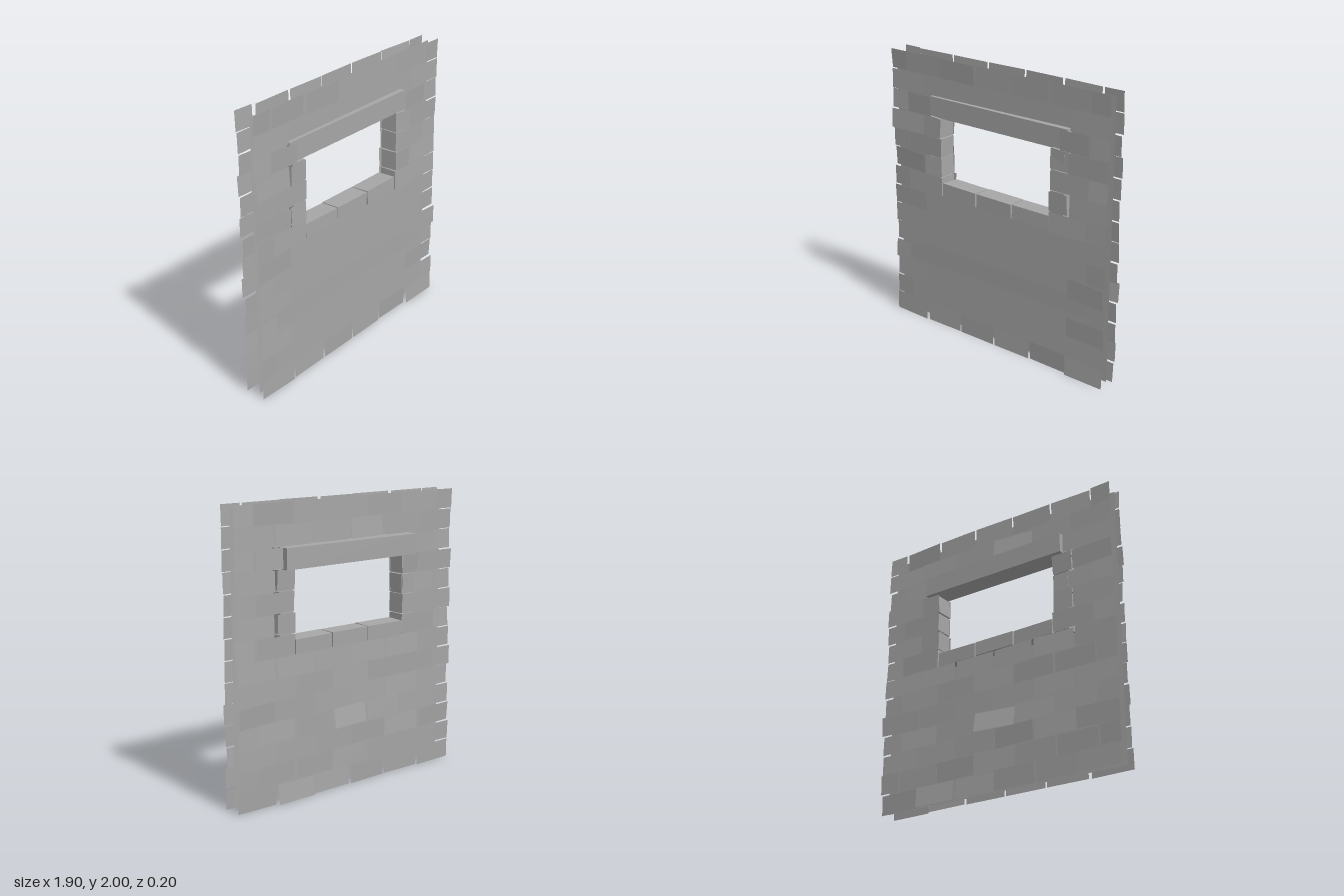
import * as THREE from 'three';

export function createModel() {
  const wall = new THREE.Group();
  wall.name = 'stoneWallWithWindow';
  const stone = new THREE.MeshStandardMaterial({ color: 0xa6a6a6, side: THREE.DoubleSide, flatShading: true });
  stone.name = 'grey stone';

  let seed = 7;
  const jitter = (amount) => {
    seed = (seed * 16807) % 2147483647;
    return (seed / 2147483647 - 0.5) * 2 * amount;
  };

  const COURSES = 14, PITCH = 0.143, BRICK = 0.3165, EDGE = 0.95;

  const add = (name, geometry, x, y, z, parent = wall) => {
    const mesh = new THREE.Mesh(geometry, stone);
    mesh.name = name;
    mesh.position.set(x, y, z);
    parent.add(mesh);
    return mesh;
  };

  // Thin core sheet with the window opening, turned slightly about y
  const sheet = new THREE.Shape();
  sheet.moveTo(-0.93, 0.02).lineTo(0.93, 0.02).lineTo(0.93, 1.975).lineTo(-0.93, 1.975).closePath();
  const opening = new THREE.Path();
  opening.moveTo(-0.52, 1.05).lineTo(-0.52, 1.62).lineTo(0.52, 1.62).lineTo(0.52, 1.05).closePath();
  sheet.holes.push(opening);
  add('coreSheet', new THREE.ShapeGeometry(sheet), 0, 0, 0.017).rotation.y = 0.016;

  // Flat course set just proud of the core
  add('flatCourse', new THREE.PlaneGeometry(1.76, 0.14), 0, 0.505, 0.024).rotation.set(0.02, 0.012, 0);

  // Running bond: whole bricks on even courses, half bricks at the ends of odd ones
  function courseSpans(course, gap) {
    const spans = [];
    const start = course % 2 ? -EDGE - BRICK / 2 : -EDGE;
    for (let a = start; a < EDGE - 0.01; a += BRICK) {
      const lo = Math.max(a, -EDGE) + 0.006;
      const hi = Math.min(a + BRICK, EDGE) - 0.006;
      const pieces = gap ? [[lo, Math.min(hi, -gap)], [Math.max(lo, gap), hi]] : [[lo, hi]];
      spans.push(...pieces.filter(([l, h]) => h - l > 0.05));
    }
    return spans;
  }

  const windowGap = (c) => (c >= 7 && c <= 10 ? 0.482 : c === 11 ? 0.565 : 0);
  const frontGap = (c) => {
    if (c === 0 || c === COURSES - 1) return 0;
    return windowGap(c) || (c % 2 ? 0.795 : 0.64);
  };

  // Brick faces: thin loose plates on both sides
  function facing(name, z, gapOf, facingAngle) {
    const group = new THREE.Group();
    group.name = name;
    wall.add(group);
    let count = 0;
    for (let c = 0; c < COURSES; c++) {
      const y = c * PITCH + PITCH / 2 - 0.001;
      for (const [lo, hi] of courseSpans(c, gapOf(c))) {
        const loose = count++ % 9 === 4 ? 3 : 1;
        const plate = add('brickFace', new THREE.PlaneGeometry(hi - lo, 0.137),
          (lo + hi) / 2 + jitter(0.004), y, z + jitter(0.01), group);
        plate.rotation.set(jitter(0.06) * loose, facingAngle + jitter(0.035) * loose, 0);
      }
    }
  }
  facing('frontBricks', 0.074, frontGap, 0);
  facing('backBricks', -0.062, windowGap, Math.PI);

  // Jamb bricks lining the sides of the window
  for (const side of [-1, 1]) {
    for (let c = 7; c <= 10; c++) {
      const jamb = add('jambBrick', new THREE.BoxGeometry(0.11, 0.137, 0.125),
        side * 0.54, c * PITCH + PITCH / 2, 0.006);
      jamb.rotation.set(0, jitter(0.06), jitter(0.07));
    }
  }

  // Sill bricks
  for (let i = -1; i <= 1; i++) {
    const sill = add('sillBrick', new THREE.BoxGeometry(0.308, 0.1, 0.135), i * 0.318, 1.052, 0.004);
    sill.rotation.set(jitter(0.04), jitter(0.03), 0);
  }

  // Lintel: deep back block with a slightly wider front block
  add('lintelBack', new THREE.BoxGeometry(1.14, 0.142, 0.09), 0, 1.638, -0.06);
  add('lintelFront', new THREE.BoxGeometry(1.2, 0.142, 0.065), 0, 1.638, 0.0175);

  return wall;
}
